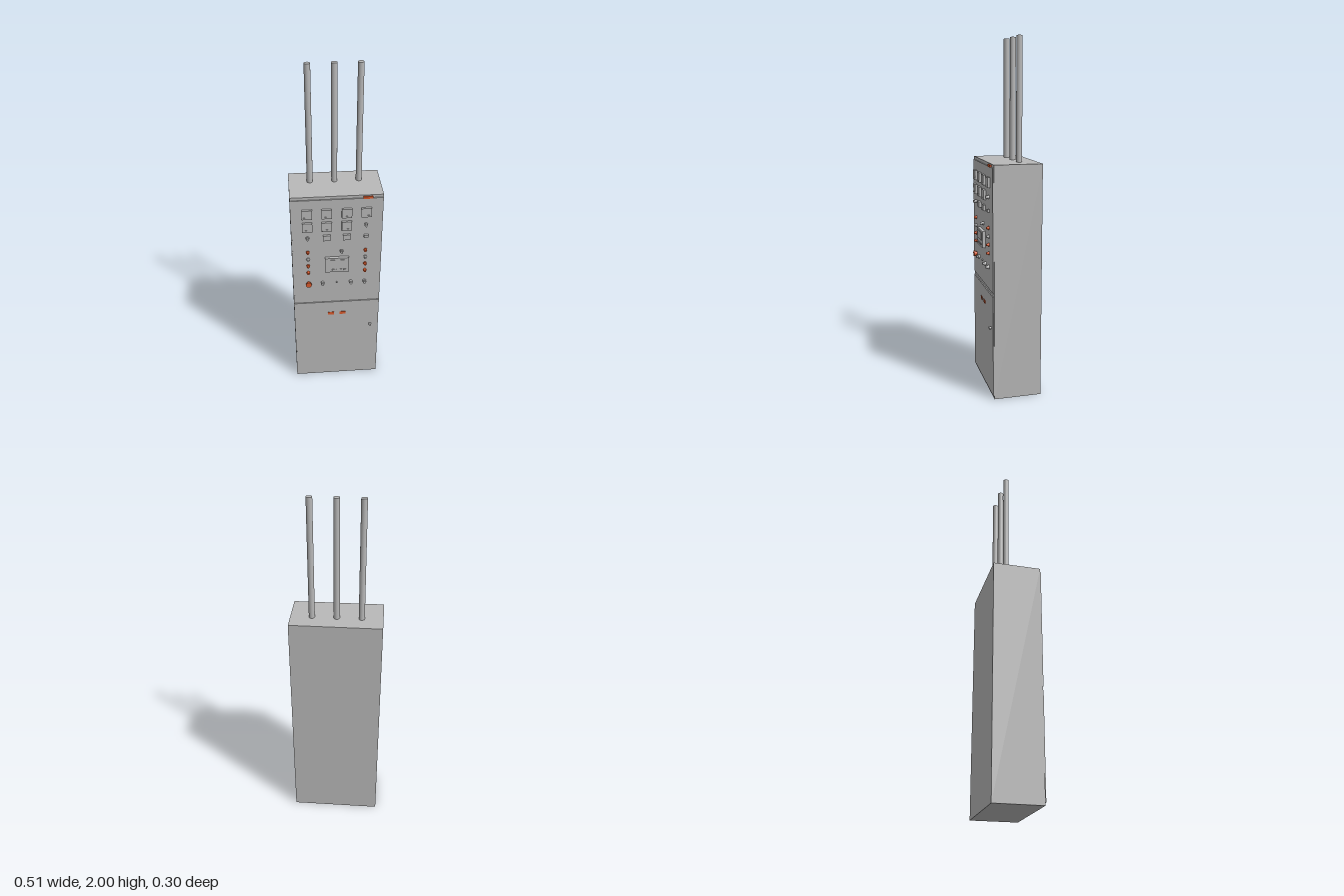
import * as THREE from 'three';

export function createModel() {
  const grey = new THREE.MeshStandardMaterial({ color: 0xb8b8b8 });
  grey.name = 'cabinetGrey';
  const orange = new THREE.MeshStandardMaterial({ color: 0xd9592b });
  orange.name = 'signalOrange';

  const group = new THREE.Group();
  group.name = 'controlCabinet';
  const FACE = 0.126; // front surface of the doors

  const add = (name, geometry, material, x, y, z) => {
    const mesh = new THREE.Mesh(geometry, material);
    mesh.name = name;
    mesh.position.set(x, y, z);
    group.add(mesh);
    return mesh;
  };
  // Box standing out from a door, from z0 to z0 + depth
  const block = (name, x, y, w, h, depth, material = grey, z0 = FACE) =>
    add(name, new THREE.BoxGeometry(w, h, depth), material, x, y, z0 + depth / 2);
  // Round part with its axis along z
  const disc = (name, x, y, r, depth, material = grey, z0 = FACE, r2 = r) => {
    const g = new THREE.CylinderGeometry(r2, r, depth, 20).rotateX(Math.PI / 2);
    return add(name, g, material, x, y, z0 + depth / 2);
  };

  // Cabinet body and its two doors
  block('cabinetBody', 0, 0.6625, 0.508, 1.325, 0.27, grey, -0.15);
  block('upperDoor', 0, 0.963, 0.496, 0.69, 0.006, grey, 0.12);
  block('lowerDoor', 0, 0.306, 0.496, 0.58, 0.006, grey, 0.12);

  // Conduits rising from the roof
  for (const x of [-0.136, 0, 0.136]) {
    add('conduit', new THREE.CylinderGeometry(0.0165, 0.0165, 0.675, 24), grey, x, 1.6625, -0.05);
  }

  // Square meters: four in the top row, three below, each with a raised cover
  const columns = [-0.164, -0.057, 0.054, 0.161];
  columns.forEach((x, i) => {
    for (const y of i < 3 ? [1.223, 1.141] : [1.223]) {
      block('meter', x, y, 0.056, 0.056, 0.014);
      block('meterRim', x, y - 0.02, 0.05, 0.01, 0.001, grey, FACE + 0.014);
    }
  });

  // Small rectangular counters
  for (const x of [-0.057, 0.054]) block('counter', x, 1.066, 0.042, 0.033, 0.014);
  block('smallCounter', 0.163, 1.066, 0.026, 0.016, 0.012);

  // Selector switches: collar, knob and grip bar
  const selector = (x, y) => {
    disc('selectorCollar', x, y, 0.01, 0.008);
    disc('selectorKnob', x, y, 0.008, 0.007, grey, FACE + 0.008);
    block('selectorGrip', x, y, 0.005, 0.015, 0.006, grey, FACE + 0.015);
  };
  selector(-0.164, 1.066);
  selector(0.161, 1.141);
  selector(0.026, 0.969);

  // Indicator lamps in two columns, the second one down unlit
  for (const x of [-0.164, 0.161]) {
    [0.969, 0.921, 0.874, 0.826].forEach((y, i) => {
      const lens = i === 1 ? grey : orange;
      disc('lampCollar', x, y, 0.01, 0.006, lens);
      disc('lampLens', x, y, 0.008, 0.011, lens, FACE + 0.006, 0.006);
    });
  }

  // Central display with raised screen and key row
  block('displayCase', 0, 0.882, 0.137, 0.097, 0.018);
  block('displayScreen', 0, 0.896, 0.095, 0.046, 0.002, grey, FACE + 0.018);
  for (let i = -2; i <= 2; i++) {
    block('displayKey', i * 0.022, 0.851, 0.012, 0.008, 0.003, grey, FACE + 0.018);
  }

  // Emergency stop and push buttons
  disc('stopCollar', -0.164, 0.747, 0.012, 0.01, orange);
  disc('stopButton', -0.164, 0.747, 0.017, 0.01, orange, FACE + 0.01);
  for (const x of [-0.083, 0.081, 0.161]) {
    disc('buttonCollar', x, 0.747, 0.0105, 0.012);
    disc('buttonCap', x, 0.747, 0.008, 0.009, grey, FACE + 0.012);
  }
  disc('keyhole', 0, 0.747, 0.004, 0.007);

  // Warning plates and door lock
  for (const x of [-0.035, 0.035]) block('warningPlate', x, 0.509, 0.037, 0.018, 0.003, orange);
  block('topWarningPlate', 0.169, 1.312, 0.052, 0.013, 0.009, orange, 0.12);
  disc('doorLock', 0.203, 0.407, 0.008, 0.013);

  return group;
}
